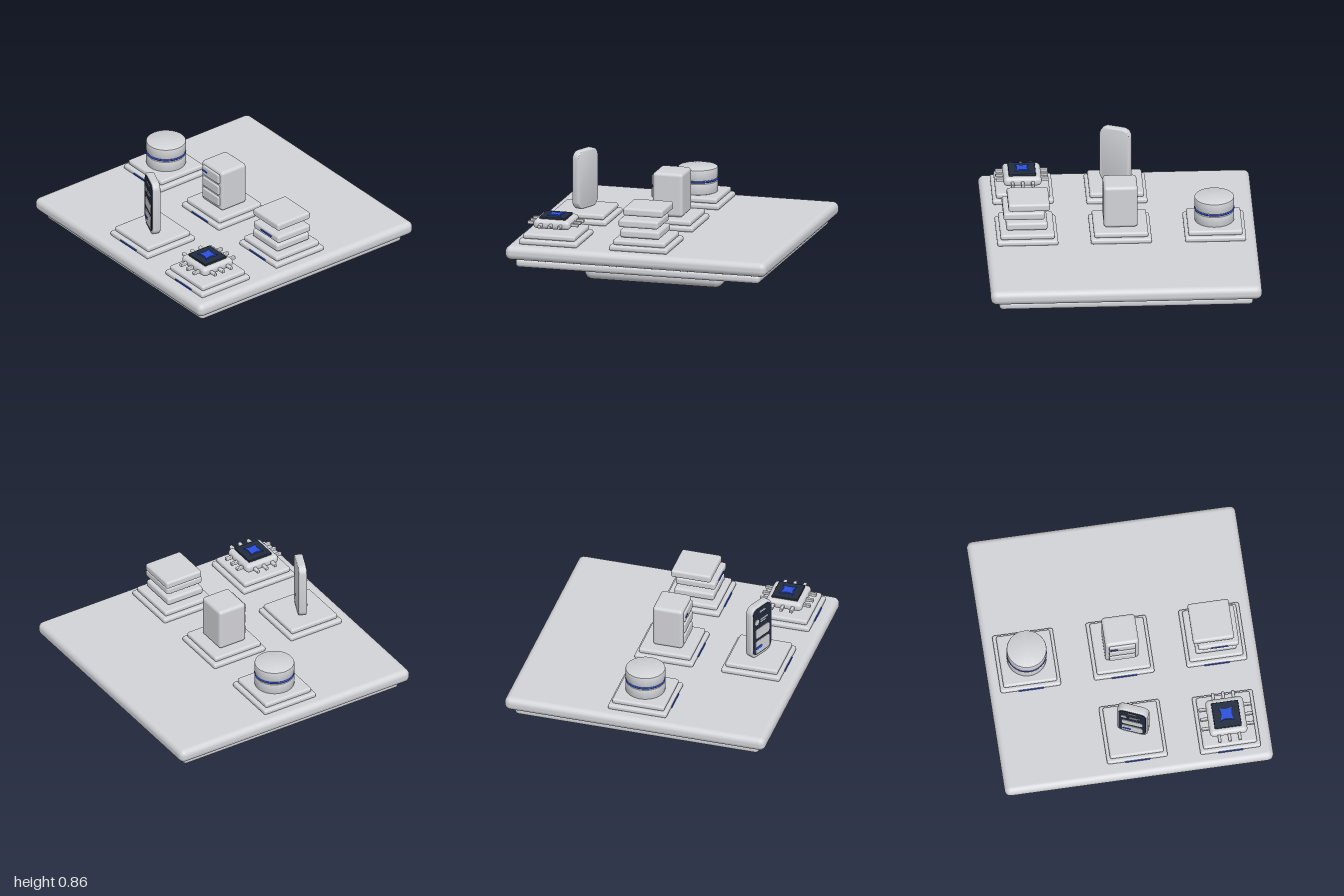
import * as THREE from 'three';
import { toCreasedNormals } from 'three/addons/utils/BufferGeometryUtils.js';
import { RoundedBoxGeometry } from 'three/addons/geometries/RoundedBoxGeometry.js';

const mat = (name, color) => new THREE.MeshStandardMaterial({ name, color });

export function createModel() {
  const shell = mat('light grey shell', 0xd2d3d7);
  const dark = mat('dark glass', 0x222c3e);
  const blue = mat('blue light', 0x2b50de);

  const group = (name, parent, x = 0, y = 0, z = 0) => {
    const g = new THREE.Group();
    g.name = name;
    g.position.set(x, y, z);
    parent.add(g);
    return g;
  };
  const add = (parent, name, geometry, material, x = 0, y = 0, z = 0) => {
    const m = new THREE.Mesh(geometry, material);
    m.name = name;
    m.position.set(x, y, z);
    parent.add(m);
    return m;
  };
  // Rounded block, centred on x, y, z
  const block = (parent, name, [w, h, d], r, material, x = 0, y = 0, z = 0) =>
    add(parent, name, new RoundedBoxGeometry(w, h, d, 4, r), material, x, y, z);

  const roundedRect = (w, h, r) => {
    const s = new THREE.Shape();
    const a = w / 2 - r, b = h / 2 - r;
    s.absarc(a, b, r, 0, Math.PI / 2);
    s.absarc(-a, b, r, Math.PI / 2, Math.PI);
    s.absarc(-a, -b, r, Math.PI, Math.PI * 1.5);
    s.absarc(a, -b, r, Math.PI * 1.5, Math.PI * 2);
    s.closePath();
    return s;
  };
  const plate = (shape, depth) =>
    new THREE.ExtrudeGeometry(shape, { depth, bevelEnabled: false, curveSegments: 8 });

  const model = new THREE.Group();
  model.name = 'displayPlatform';

  // Stacked base
  block(model, 'foot', [1.06, 0.16, 1.06], 0.06, shell, 0, 0.08);
  block(model, 'lowerSlab', [1.87, 0.065, 1.87], 0.028, shell, 0, 0.197);
  block(model, 'topSlab', [2, 0.105, 2], 0.045, shell, 0, 0.283);

  // Two-step pedestal with a light strip; its top is at local y = 0
  const pedestal = (name, x, z) => {
    const g = group(name, model, x, 0.416, z);
    block(g, 'pedestalLower', [0.45, 0.04, 0.45], 0.016, shell, 0, -0.061);
    block(g, 'pedestalUpper', [0.4, 0.041, 0.4], 0.016, shell, 0, -0.0205);
    block(g, 'lightStrip', [0.19, 0.012, 0.012], 0.004, blue, 0, -0.061, 0.226);
    return g;
  };

  // Storage drum: two discs with a glowing ring between
  const drum = pedestal('storageDrum', -0.695, 0);
  const discProfile = [[0, 0], [0.139, 0], [0.145, 0.003], [0.147, 0.009],
    [0.147, 0.076], [0.145, 0.082], [0.139, 0.085], [0, 0.085]];
  const discGeometry = toCreasedNormals(new THREE.LatheGeometry(
    discProfile.map(([x, y]) => new THREE.Vector2(x, y)), 64), 0.7);
  add(drum, 'lowerDisc', discGeometry, shell, 0, 0, 0);
  add(drum, 'upperDisc', discGeometry, shell, 0, 0.104, 0);
  add(drum, 'glowRing', new THREE.TorusGeometry(0.142, 0.007, 10, 64), blue, 0, 0.097, 0)
    .rotation.x = Math.PI / 2;

  // Cabinet with three drawers
  const cabinet = pedestal('cabinet', 0, 0);
  block(cabinet, 'cabinetBody', [0.25, 0.33, 0.23], 0.025, shell, 0, 0.165);
  for (let i = 0; i < 3; i++) {
    block(cabinet, 'drawer', [0.195, 0.078, 0.03], 0.01, shell, 0, 0.075 + i * 0.095, 0.115);
  }
  block(cabinet, 'drawerLight', [0.055, 0.014, 0.008], 0.003, blue, -0.062, 0.265, 0.131);

  // Stack of three offset slabs
  const stack = pedestal('slabStack', 0.69, 0);
  [[0.003, 0.038, 0.008], [0.022, 0.119, 0.013], [-0.013, 0.2, -0.012]].forEach(([x, y, z]) =>
    block(stack, 'stackSlab', [0.305, 0.06, 0.305], 0.018, shell, x, y, z));
  block(stack, 'stackLight', [0.125, 0.013, 0.01], 0.004, blue, 0.028, 0.119, 0.167);

  // Processor with pins on four sides
  const chip = pedestal('processor', 0.69, 0.69);
  block(chip, 'package', [0.28, 0.07, 0.28], 0.03, shell, 0, 0.059);
  for (const o of [-0.075, 0, 0.075]) {
    block(chip, 'pinsAcross', [0.39, 0.025, 0.025], 0.006, shell, 0, 0.056, o);
    block(chip, 'pinsAlong', [0.025, 0.025, 0.39], 0.006, shell, o, 0.056, 0);
  }
  block(chip, 'die', [0.2, 0.018, 0.2], 0.004, dark, 0, 0.1);
  const spark = new THREE.Shape();
  const c = 0.052, q = 0.024;
  spark.moveTo(c, c);
  spark.quadraticCurveTo(0, q, -c, c);
  spark.quadraticCurveTo(-q, 0, -c, -c);
  spark.quadraticCurveTo(0, -q, c, -c);
  spark.quadraticCurveTo(q, 0, c, c);
  add(chip, 'dieSpark', plate(spark, 0.009), blue, 0, 0.109, 0).rotation.x = -Math.PI / 2;

  // Upright handset, turned towards the model's right
  const stand = pedestal('handsetStand', 0, 0.665);
  const phone = group('handset', stand, 0, 0.221, 0);
  phone.rotation.y = -0.4;
  const bevel = 0.01;
  const body = new THREE.ExtrudeGeometry(roundedRect(0.215, 0.42, 0.05), {
    depth: 0.04, bevelThickness: bevel, bevelSize: bevel, bevelSegments: 4, curveSegments: 10,
  });
  add(phone, 'handsetBody', toCreasedNormals(body, 0.6), shell, 0, 0, -0.02);
  add(phone, 'screen', plate(roundedRect(0.208, 0.4, 0.048), 0.006), dark, 0, 0.004, 0.027);

  // Screen items: name, width, height, corner radius, x, y, material
  [
    ['titleBar', 0.066, 0.014, 0.006, 0, 0.168, shell],
    ['textLine', 0.085, 0.012, 0.005, 0.02, 0.097, shell],
    ['textLine', 0.062, 0.01, 0.004, 0.008, 0.078, shell],
    ['cardUpper', 0.158, 0.08, 0.02, 0, -0.012, shell],
    ['cardLower', 0.158, 0.108, 0.02, 0, -0.13, shell],
  ].forEach(([name, w, h, r, x, y, m]) =>
    add(phone, name, plate(roundedRect(w, h, r), 0.005), m, x, y, 0.032));
  add(phone, 'cardButton', plate(roundedRect(0.07, 0.022, 0.009), 0.004), blue, -0.04, -0.138, 0.036);
  add(phone, 'hexIcon', new THREE.CylinderGeometry(0.026, 0.026, 0.006, 6), shell, -0.063, 0.09, 0.034)
    .rotation.set(Math.PI / 2, Math.PI / 6, 0);

  return model;
}
